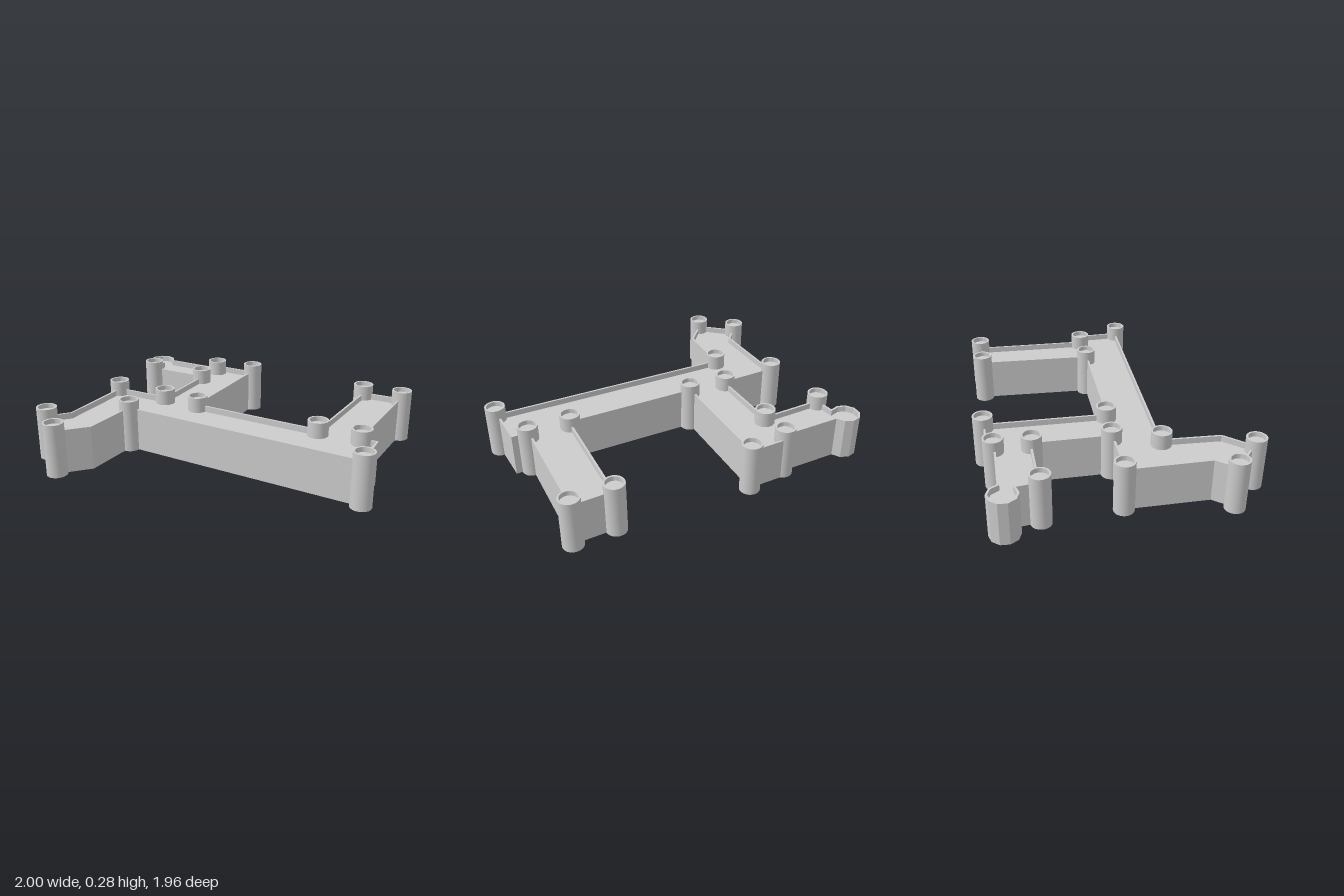
import * as THREE from 'three';
import { toCreasedNormals } from 'three/addons/utils/BufferGeometryUtils.js';

const WALL_H = 0.235, ROOF_Y = 0.203, WALL_T = 0.011;
const TOWER_H = 0.285, TOWER_R = 0.054;

// Round towers at the corners of the plan, as [x, z]
const TOWERS = [
  [-0.94, -0.18], [-0.945, 0.05], [-0.475, -0.465], [-0.51, -0.13], [-0.275, -0.225],
  [-0.145, -0.045], [0.04, -0.487], [0.365, -0.457], [0.19, -0.607], [-0.18, -0.75],
  [0.297, 0.513], [0.443, 0.69], [0.31, 0.925], [0.8, 0.127], [0.943, 0.297],
];

// Outer plan of the walls, with a ten-sided bastion at the rear tip
function planOutline() {
  const bastion = [];
  for (let k = 0; k <= 8; k++) {
    const a = THREE.MathUtils.degToRad(108 + 36 * k);
    bastion.push([-0.08 + 0.079 * Math.cos(a), -0.908 + 0.079 * Math.sin(a)]);
  }
  return [
    [-0.94, -0.18], [-0.815, -0.18], [-0.475, -0.465], [-0.275, -0.225], [0.04, -0.487],
    [-0.18, -0.75], ...bastion, [0.19, -0.607], [0.235, -0.615], [0.365, -0.457],
    [-0.145, -0.045], [0.297, 0.513], [0.8, 0.127], [0.943, 0.297], [0.443, 0.69],
    [0.465, 0.725], [0.495, 0.76], [0.31, 0.925], [-0.51, -0.13], [-0.76, 0.06], [-0.945, 0.05],
  ].map(([x, z]) => new THREE.Vector2(x, z));
}

// Mitred inset of a closed outline
function inset(points, distance) {
  const side = THREE.ShapeUtils.area(points) > 0 ? 1 : -1;
  const n = points.length;
  const normal = (a, b) => {
    const d = b.clone().sub(a).normalize();
    return new THREE.Vector2(-d.y * side, d.x * side);
  };
  return points.map((p, i) => {
    const n1 = normal(points[(i + n - 1) % n], p);
    const n2 = normal(p, points[(i + 1) % n]);
    const scale = distance / Math.max(0.3, 1 + n1.dot(n2));
    return p.clone().addScaledVector(n1.add(n2), scale);
  });
}

export function createModel() {
  const model = new THREE.Group();
  model.name = 'castle';
  const stone = new THREE.MeshStandardMaterial({ color: 0xcccccc, side: THREE.DoubleSide });
  stone.name = 'stone';

  const outer = planOutline();
  const inner = inset(outer, WALL_T);

  // Thin curtain wall, open underneath
  const ring = new THREE.Shape(outer);
  ring.holes.push(new THREE.Path(inner));
  const wallGeo = new THREE.ExtrudeGeometry(ring, { depth: WALL_H, bevelEnabled: false });
  wallGeo.rotateX(Math.PI / 2).translate(0, WALL_H, 0);
  const wall = new THREE.Mesh(wallGeo, stone);
  wall.name = 'curtainWall';
  model.add(wall);

  // Flat roof sunk behind the parapet; reversed rotation keeps it facing up
  const roofGeo = new THREE.ShapeGeometry(
    new THREE.Shape(inner.map((p) => new THREE.Vector2(p.x, -p.y))));
  roofGeo.rotateX(-Math.PI / 2).translate(0, ROOF_Y, 0);
  const roof = new THREE.Mesh(roofGeo, stone);
  roof.name = 'roof';
  model.add(roof);

  // Towers with a raised rim round a sunken top
  const rim = TOWER_R - 0.01;
  const profile = [
    [0, 0], [TOWER_R, 0], [TOWER_R, TOWER_H], [rim, TOWER_H], [rim, TOWER_H - 0.025], [0, TOWER_H - 0.025],
  ].map(([r, y]) => new THREE.Vector2(r, y));
  const towerGeo = toCreasedNormals(new THREE.LatheGeometry(profile, 28), Math.PI / 5);
  const towers = new THREE.Group();
  towers.name = 'towers';
  for (const [x, z] of TOWERS) {
    const tower = new THREE.Mesh(towerGeo, stone);
    tower.name = 'tower';
    tower.position.set(x, 0, z);
    towers.add(tower);
  }
  model.add(towers);
  return model;
}
